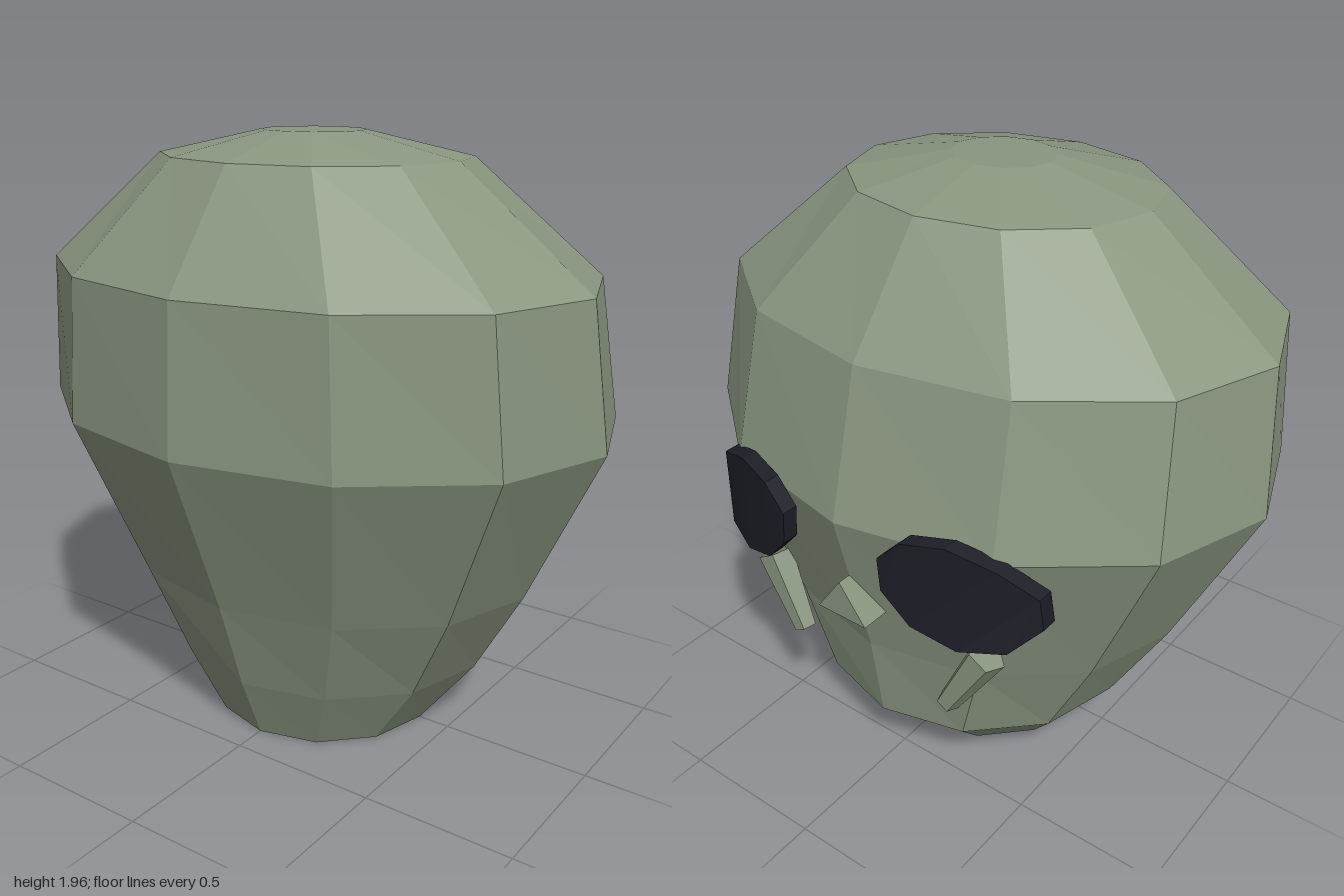
import * as THREE from 'three';

const skin = new THREE.MeshStandardMaterial({ color: 0x8a9680, flatShading: true });
const dark = new THREE.MeshStandardMaterial({ color: 0x1e1e28, flatShading: true });

function part(name, geometry, material) {
  const mesh = new THREE.Mesh(geometry, material);
  mesh.name = name;
  return mesh;
}

// Faceted skull: stacked elliptical rings of 12 points, closed at both ends
function headGeometry() {
  const sides = 12;
  // [height, half width, half depth, depth centre]
  const rings = [
    [0, 0.39, 0.39, 0],
    [0.22, 0.56, 0.54, -0.06],
    [0.53, 0.74, 0.61, -0.03],
    [1.07, 1.0, 0.775, 0.01],
    [1.535, 0.955, 0.70, 0.06],
    [1.885, 0.52, 0.43, 0.07],
    [1.96, 0.17, 0.15, 0.07],
  ];
  const pos = [], index = [];
  for (const [y, rx, rz, cz] of rings) {
    for (let i = 0; i < sides; i++) {
      const a = (i / sides) * Math.PI * 2;
      pos.push(rx * Math.cos(a), y, cz + rz * Math.sin(a));
    }
  }
  const last = rings.length - 1;
  const bottom = pos.length / 3, top = bottom + 1;
  pos.push(0, 0, 0, 0, rings[last][0], rings[last][3]);
  for (let i = 0; i < sides; i++) {
    const j = (i + 1) % sides;
    for (let r = 0; r < last; r++) {
      const a = r * sides + i, b = r * sides + j;
      index.push(a, a + sides, b + sides, a, b + sides, b);
    }
    index.push(bottom, i, j);
    index.push(top, last * sides + j, last * sides + i);
  }
  const g = new THREE.BufferGeometry();
  g.setAttribute('position', new THREE.Float32BufferAttribute(pos, 3));
  g.setIndex(index);
  g.computeVertexNormals();
  return g;
}

// Depth of the eye's outer face at a distance x from the middle of the face
const eyeCurve = [[0.17, -0.785], [0.22, -0.79], [0.34, -0.755], [0.5, -0.71], [0.6, -0.645], [0.65, -0.58]];
function eyeDepth(x) {
  let k = 1;
  while (k < eyeCurve.length - 1 && x > eyeCurve[k][0]) k++;
  const [x0, z0] = eyeCurve[k - 1], [x1, z1] = eyeCurve[k];
  return z0 + (z1 - z0) * (x - x0) / (x1 - x0);
}

// Ten-sided oval plate, tilted and wrapped around the face
function eyeGeometry(side) {
  const g = new THREE.BoxGeometry(2, 2, 1, 5, 1, 1);
  const p = g.attributes.position;
  const tilt = -0.35, c = Math.cos(tilt), s = Math.sin(tilt);
  for (let i = 0; i < p.count; i++) {
    const a = (side * p.getX(i) + 1) * Math.PI / 2;
    const u = -0.24 * Math.cos(a), v = 0.17 * Math.sin(a) * p.getY(i);
    const x = 0.41 + u * c - v * s;
    const y = 0.955 + u * s + v * c;
    p.setXYZ(i, side * x, y, eyeDepth(x) + (p.getZ(i) + 0.5) * 0.055);
  }
  g.computeVertexNormals();
  return g;
}

// Tapered five-sided bar between two points
function cheekBar(side) {
  const top = new THREE.Vector3(side * 0.44, 0.685, -0.605);
  const low = new THREE.Vector3(side * 0.305, 0.445, -0.63);
  const mesh = part(side > 0 ? 'leftCheekBar' : 'rightCheekBar',
    new THREE.CylinderGeometry(0.062, 0.038, top.distanceTo(low), 5), skin);
  mesh.position.addVectors(top, low).multiplyScalar(0.5);
  mesh.quaternion.setFromUnitVectors(new THREE.Vector3(0, 1, 0), top.clone().sub(low).normalize());
  return mesh;
}

export function createModel() {
  const model = new THREE.Group();
  model.name = 'head';
  model.add(part('skull', headGeometry(), skin));

  // Triangular nose plate
  const tri = new THREE.Shape([
    new THREE.Vector2(-0.095, 0.72),
    new THREE.Vector2(0.095, 0.72),
    new THREE.Vector2(0, 0.85),
  ]);
  const nose = part('nose', new THREE.ExtrudeGeometry(tri, { depth: 0.1, bevelEnabled: false }), skin);
  nose.position.z = -0.76;
  model.add(nose);

  // Paired features
  for (const side of [1, -1]) {
    model.add(part(side > 0 ? 'leftEye' : 'rightEye', eyeGeometry(side), dark));
    model.add(cheekBar(side));
  }
  return model;
}
